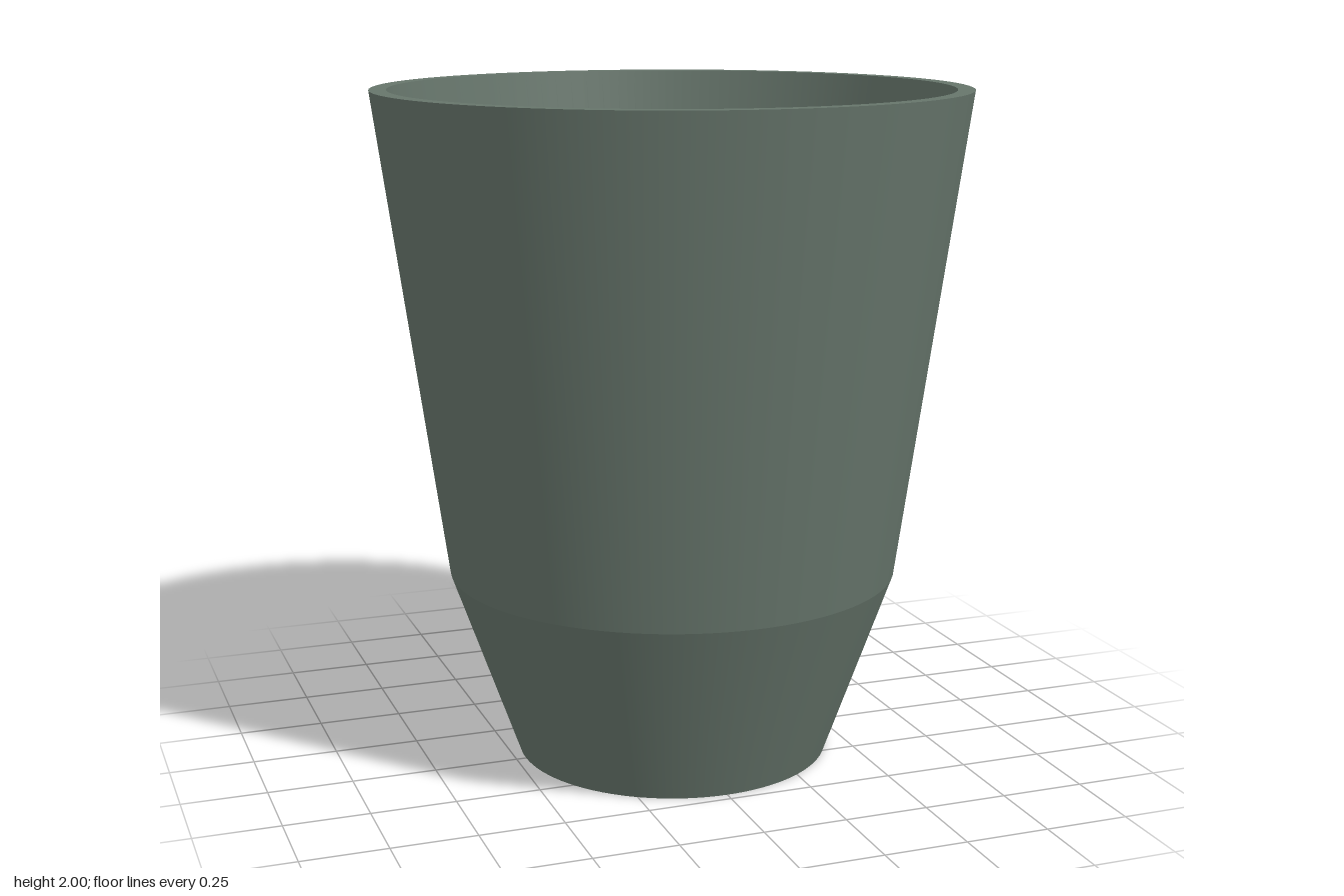
import * as THREE from 'three';

export function createModel() {
  const group = new THREE.Group();
  group.name = 'cup';
  const clay = new THREE.MeshStandardMaterial({ color: 0x66756b });
  clay.name = 'grey green';

  // Closed wall profile [radius, height]: underside, outside, rim, inside, floor
  const profile = [
    [0, 0], [0.47, 0], [0.67, 0.565], [0.87, 2],
    [0.82, 2], [0.59, 0.565], [0.43, 0.1], [0, 0.1],
  ].map(([r, y]) => new THREE.Vector2(r, y));
  const names = ['underside', 'outerFoot', 'outerWall', 'rim', 'innerWall', 'innerFoot', 'floor'];

  // One lathe band per profile segment: smooth around, sharp between bands
  names.forEach((name, i) => {
    const band = new THREE.Mesh(new THREE.LatheGeometry([profile[i], profile[i + 1]], 96), clay);
    band.name = name;
    group.add(band);
  });
  return group;
}
